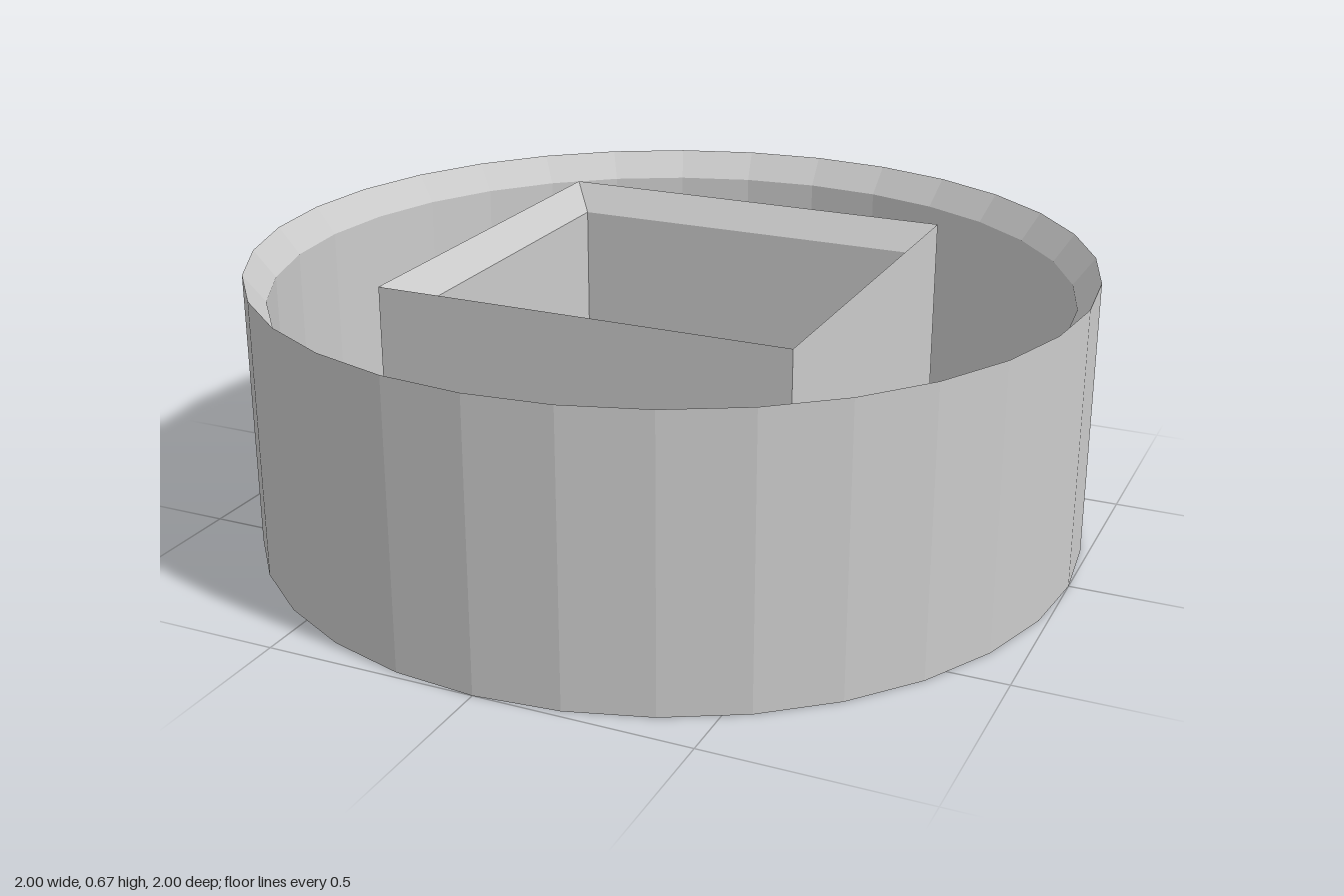
import * as THREE from 'three';

const HEIGHT = 0.67;  // overall height
const BEVEL = 0.067;  // drop of the sloped cutting rim
const WALL = 0.05;    // wall thickness
const FLOOR = 0.067;  // base plate thickness

export function createModel() {
  const group = new THREE.Group();
  const material = new THREE.MeshStandardMaterial({ color: 0xcccccc, flatShading: true });

  // Faceted prism swept from a [radius, y] profile
  const addPrism = (name, profile, sides, startAngle = 0) => {
    const points = profile.map(([r, y]) => new THREE.Vector2(r, y));
    const geometry = new THREE.LatheGeometry(points, sides, startAngle).toNonIndexed();
    geometry.computeVertexNormals();
    const mesh = new THREE.Mesh(geometry, material);
    mesh.name = name;
    group.add(mesh);
  };

  // Round tray: underside, outer wall, rim sloping inward, inner wall, floor
  addPrism('roundTray', [
    [0, 0], [1, 0], [1, HEIGHT],
    [1 - WALL, HEIGHT - BEVEL], [1 - WALL, FLOOR], [0, FLOOR],
  ], 32);

  // Square wall standing on the floor, with the same sloped rim
  const corner = Math.SQRT2; // half side to corner radius
  addPrism('squareWall', [
    [0.5 * corner, FLOOR], [0.5 * corner, HEIGHT],
    [(0.5 - WALL) * corner, HEIGHT - BEVEL], [(0.5 - WALL) * corner, FLOOR],
  ], 4, Math.PI / 4);

  return group;
}
